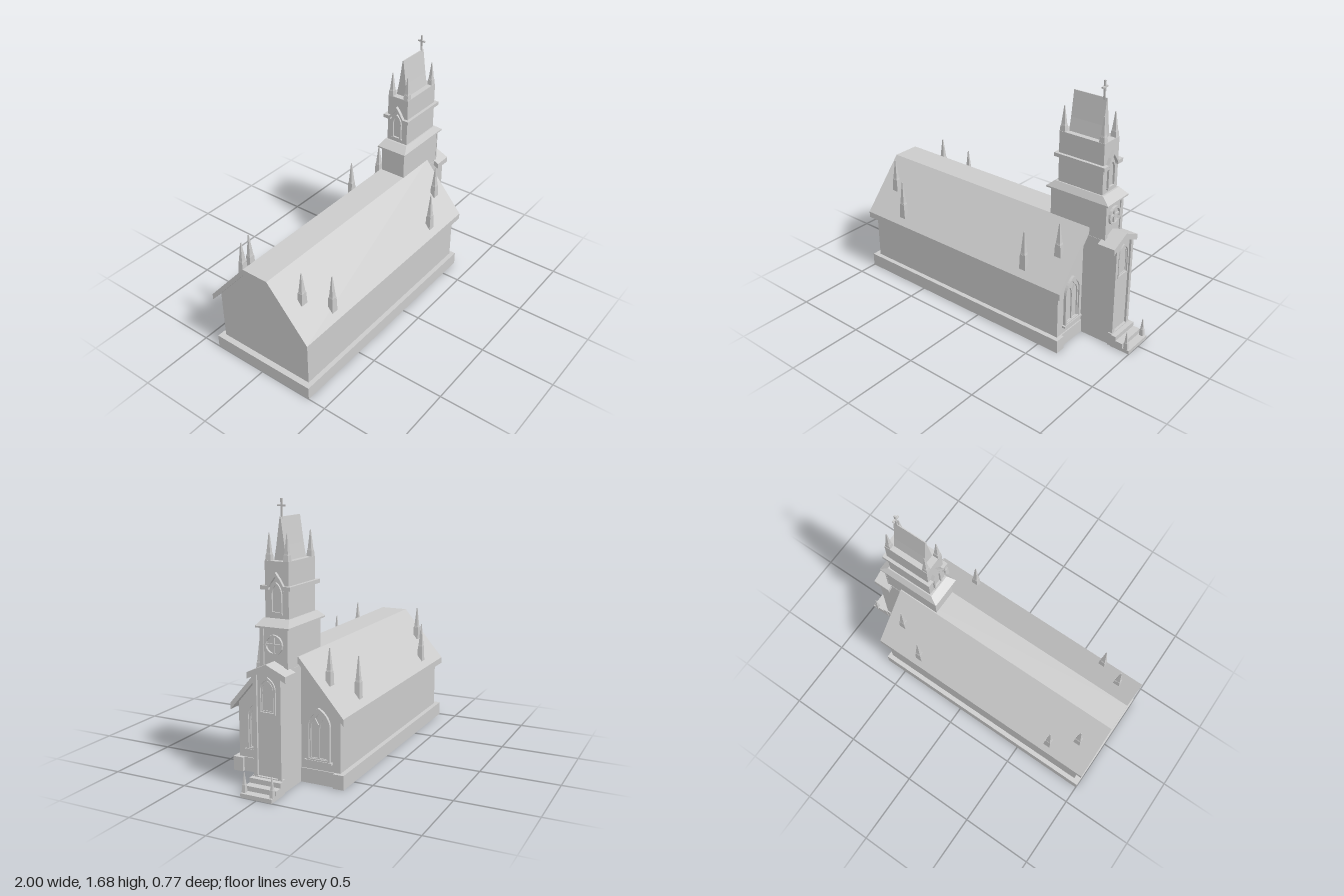
import * as THREE from 'three';

const mat = new THREE.MeshStandardMaterial({ color: 0xcccccc, side: THREE.DoubleSide });

function add(parent, name, geo) {
  const m = new THREE.Mesh(geo, mat);
  m.name = name;
  parent.add(m);
  return m;
}

// Box given by its extents
function box(parent, name, x0, x1, y0, y1, z0, z1) {
  const g = new THREE.BoxGeometry(x1 - x0, y1 - y0, z1 - z0);
  return add(parent, name, g.translate((x0 + x1) / 2, (y0 + y1) / 2, (z0 + z1) / 2));
}

// Box on y0 whose top is w1 x d1 instead of w0 x d0
function taper(parent, name, x, y0, y1, z, w0, d0, w1, d1) {
  const g = new THREE.BoxGeometry(w0, y1 - y0, d0);
  const p = g.attributes.position;
  for (let i = 0; i < p.count; i++) {
    if (p.getY(i) > 0) p.setXYZ(i, p.getX(i) * w1 / w0, p.getY(i), p.getZ(i) * d1 / d0);
  }
  g.computeVertexNormals();
  return add(parent, name, g.translate(x, (y0 + y1) / 2, z));
}

// Shape drawn in the z-y plane, extruded along x from x0 to x1
function slab(parent, name, shape, x0, x1) {
  const g = new THREE.ExtrudeGeometry(shape, { depth: x1 - x0, bevelEnabled: false, curveSegments: 8 });
  return add(parent, name, g.rotateY(Math.PI / 2).translate(x0, 0, 0));
}

const poly = pts => new THREE.Shape(pts.map(([a, b]) => new THREE.Vector2(a, b)));
// Symmetric outline from its right half
const mirrored = pts => poly([...pts, ...pts.filter(p => p[0] > 0).reverse().map(([a, b]) => [-a, b])]);
// Bent strip (roof section): outer half from centre to eave, with vertical thickness t
function strip(pts, t) {
  const left = pts.filter(p => p[0] > 0).reverse().map(([a, b]) => [-a, b]);
  const top = [...left, ...pts];
  return poly([...top, ...top.slice().reverse().map(([a, b]) => [a, b - t])]);
}

// Pointed arch outline
function lancet(c, w, y0, ys, yt) {
  const s = new THREE.Shape();
  const k = ys + (yt - ys) * 0.65;
  s.moveTo(c - w, y0);
  s.lineTo(c + w, y0);
  s.lineTo(c + w, ys);
  s.quadraticCurveTo(c + w * 0.9, k, c, yt);
  s.quadraticCurveTo(c - w * 0.9, k, c - w, ys);
  s.closePath();
  return s;
}

function archFrame(parent, name, x0, x1, w, y0, ys, yt, t) {
  const s = lancet(0, w, y0, ys, yt);
  s.holes.push(lancet(0, w - t, y0 + t, ys, yt - t * 1.3));
  return slab(parent, name, s, x0, x1);
}

// Square pinnacle: block, collar and spire
function pinnacle(parent, x, y0, yb, y1, z, w, d) {
  const g = new THREE.Group();
  g.name = 'pinnacle';
  parent.add(g);
  taper(g, 'pinnacleBlock', x, y0, yb, z, w, d, w * 0.8, d * 0.9);
  taper(g, 'pinnacleSpire', x, yb, y1, z, w * 0.7, d * 0.75, w * 0.12, d * 0.12);
  const c = yb + (y1 - yb) * 0.12;
  taper(g, 'pinnacleCollar', x, yb, c, z, w * 0.76, d * 0.82, w * 0.6, d * 0.65);
}

function buildNave(nave) {
  // Hollow plinth, open below, with projecting front corners
  for (const s of [-1, 1]) {
    box(nave, 'plinthSide', -1, 0.625, 0, 0.09, s * 0.33, s * 0.378).material = mat;
    box(nave, 'plinthCorner', 0.625, 0.65, 0, 0.09, s * 0.31, s * 0.378);
    box(nave, 'sideWall', -0.96, 0.625, 0.08, 0.44, s * 0.335, s * 0.347);
  }
  box(nave, 'plinthBack', -1, -0.94, 0, 0.09, -0.33, 0.33);
  box(nave, 'plinthFront', 0.6, 0.632, 0, 0.09, -0.33, 0.33);

  // Gable walls and flat-topped roof
  const gable = mirrored([[0.347, 0.08], [0.347, 0.44], [0.09, 0.74]]);
  slab(nave, 'backGable', gable, -0.96, -0.945);
  slab(nave, 'frontGable', gable, 0.61, 0.625);
  slab(nave, 'roof', strip([[0.093, 0.775], [0.383, 0.437]], 0.042), -1, 0.662);

  for (const s of [-1, 1]) {
    for (const x of [-0.7, 0.35]) pinnacle(nave, x, 0.475, 0.58, 0.74, s * 0.333, 0.048, 0.036);
    for (const x of [-0.86, 0.545]) pinnacle(nave, x, 0.595, 0.68, 0.82, s * 0.237, 0.048, 0.036);

    // Twin-light window beside the tower
    const w = new THREE.Group();
    w.name = 'facadeWindow';
    w.position.z = s * 0.208;
    nave.add(w);
    archFrame(w, 'windowFrame', 0.625, 0.643, 0.078, 0.145, 0.37, 0.475, 0.016);
    const tracery = lancet(0, 0.064, 0.15, 0.37, 0.456);
    for (const c of [-0.029, 0.029]) tracery.holes.push(lancet(c, 0.023, 0.165, 0.34, 0.405));
    tracery.holes.push(poly([[0, 0.37], [0.022, 0.408], [0, 0.438], [-0.022, 0.408]]));
    slab(w, 'windowTracery', tracery, 0.625, 0.634);
    box(w, 'windowSill', 0.625, 0.648, 0.138, 0.152, -0.09, 0.09);
  }
}

function buildTower(tower) {
  // Porch body, hollow toward the nave, with front pilasters
  slab(tower, 'porchFront', mirrored([[0.092, 0], [0.092, 0.7], [0, 0.74]]), 0.84, 0.852);
  for (const s of [-1, 1]) {
    box(tower, 'porchSide', 0.615, 0.852, 0, 0.72, s * 0.08, s * 0.092);
    box(tower, 'porchPilaster', 0.85, 0.866, 0.09, 0.7, s * 0.067, s * 0.092);
    box(tower, 'shaftPilaster', 0.77, 0.778, 0.7, 0.96, s * 0.067, s * 0.092);
  }
  box(tower, 'porchPlinth', 0.84, 0.868, 0, 0.09, -0.1, 0.1);
  slab(tower, 'porchRoof', strip([[0, 0.765], [0.127, 0.708], ], 0.038), 0.75, 0.87);
  archFrame(tower, 'porchWindow', 0.85, 0.862, 0.054, 0.47, 0.62, 0.69, 0.011);
  archFrame(tower, 'porchWindowLight', 0.85, 0.857, 0.038, 0.485, 0.615, 0.668, 0.006);

  // Clock-stage shaft and its cornice
  box(tower, 'shaft', 0.37, 0.77, 0.7, 0.96, -0.09, 0.09);
  box(tower, 'shaftCornice', 0.347, 0.798, 0.957, 0.967, -0.11, 0.11);
  taper(tower, 'shaftCorniceSlope', 0.5725, 0.967, 1.007, 0, 0.451, 0.22, 0.345, 0.17);

  // Round window with a cross
  const ring = new THREE.Shape().absarc(0, 0.86, 0.06, 0, Math.PI * 2);
  ring.holes.push(new THREE.Path().absarc(0, 0.86, 0.048, 0, Math.PI * 2));
  slab(tower, 'roundWindowRing', ring, 0.77, 0.786);
  box(tower, 'roundWindowBar', 0.77, 0.78, 0.812, 0.908, -0.006, 0.006);
  box(tower, 'roundWindowBar', 0.77, 0.78, 0.854, 0.866, -0.048, 0.048);

  // Belfry with a band, and a gabled window at each end
  box(tower, 'belfry', 0.413, 0.733, 1, 1.335, -0.077, 0.077);
  for (const s of [-1, 1]) box(tower, 'belfryBandSide', 0.392, 0.754, 1.172, 1.196, s * 0.07, s * 0.098);
  for (const [a, b, c, d] of [[0.733, 0.754, 0.733, 0.746], [0.392, 0.413, 0.4, 0.413]]) {
    for (const s of [-1, 1]) box(tower, 'belfryBandEnd', a, b, 1.172, 1.196, s * 0.045, s * 0.098);
    slab(tower, 'belfryHood', strip([[0, 1.275], [0.03, 1.235], [0.055, 1.192]], 0.024), a, b);
    archFrame(tower, 'belfryWindow', c, d, 0.036, 1.035, 1.15, 1.215, 0.01);
    box(tower, 'belfrySill', c, d, 1.03, 1.04, -0.04, 0.04);
  }
  for (const x of [0.432, 0.711]) {
    for (const s of [-1, 1]) pinnacle(tower, x, 1.33, 1.37, 1.492, s * 0.058, 0.04, 0.034);
  }

  // Wedge spire and cross
  slab(tower, 'spire', mirrored([[0.042, 1.33], [0.026, 1.42], [0.003, 1.582]]), 0.457, 0.686);
  box(tower, 'crossPost', 0.66, 0.672, 1.56, 1.685, -0.005, 0.005);
  box(tower, 'crossArm', 0.66, 0.672, 1.64, 1.65, -0.026, 0.026);

  // Entrance steps with small posts
  const steps = [[0.9, 0.085], [0.95, 0.055], [1, 0.025]];
  for (const [x, y] of steps) box(tower, 'step', 0.866, x, 0, y, -0.104, 0.104);
  for (const s of [-1, 1]) pinnacle(tower, 0.972, 0.02, 0.07, 0.147, s * 0.092, 0.028, 0.022);
}

export function createModel() {
  const model = new THREE.Group();
  model.name = 'church';
  const nave = new THREE.Group();
  nave.name = 'nave';
  const tower = new THREE.Group();
  tower.name = 'tower';
  tower.position.z = 0.004;
  model.add(nave, tower);
  buildNave(nave);
  buildTower(tower);
  // Boxes mirrored across z get their faces turned outward again
  model.traverse(o => {
    if (!o.isMesh || o.geometry.type !== 'BoxGeometry') return;
    const { depth } = o.geometry.parameters;
    if (depth < 0) {
      const i = o.geometry.index.array;
      for (let k = 0; k < i.length; k += 3) [i[k], i[k + 1]] = [i[k + 1], i[k]];
      o.geometry.computeVertexNormals();
    }
  });
  return model;
}
